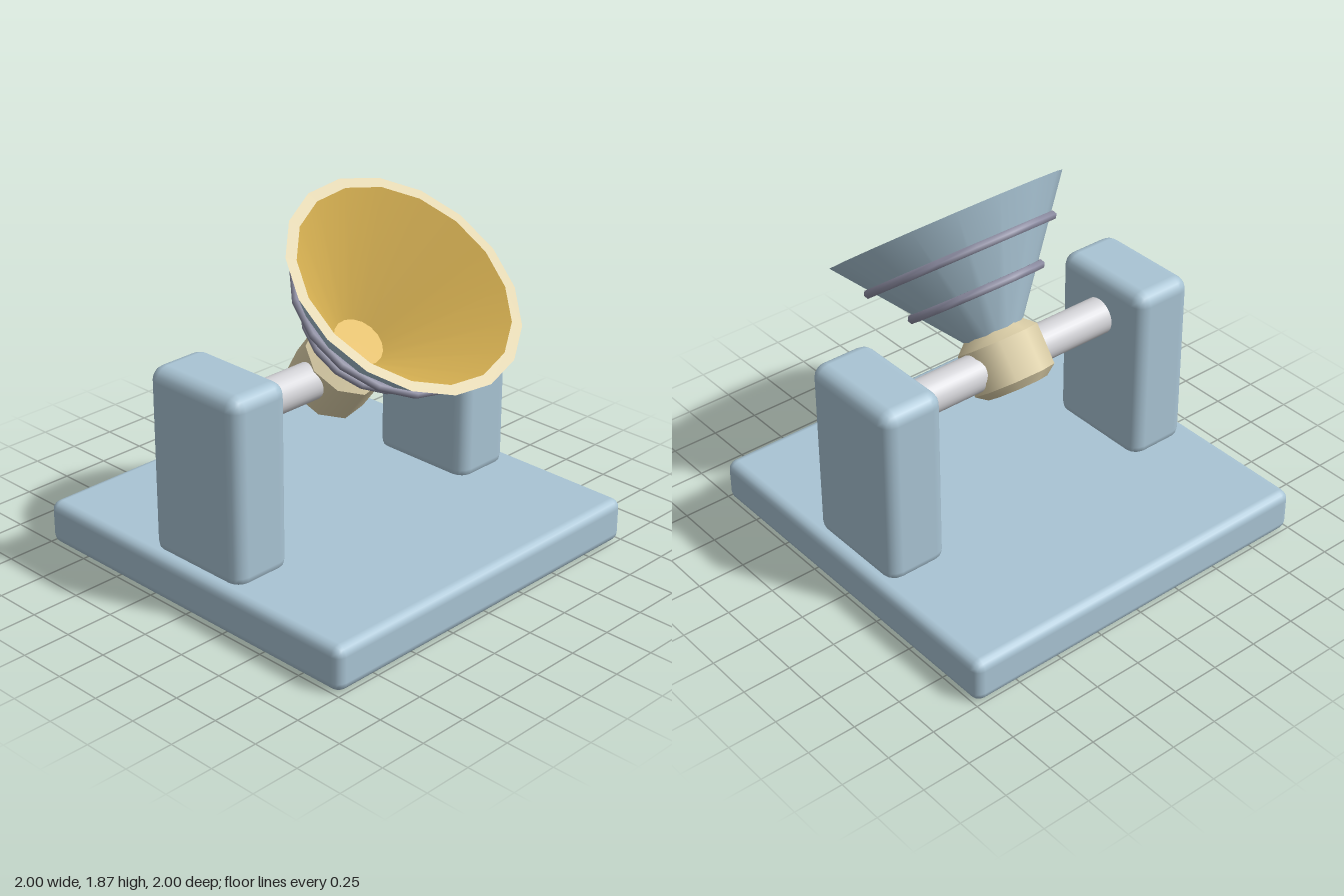
import * as THREE from 'three';
import { RoundedBoxGeometry } from 'three/addons/geometries/RoundedBoxGeometry.js';

export function createModel() {
  const mat = (name, color, side = THREE.FrontSide) => {
    const m = new THREE.MeshStandardMaterial({ color, side });
    m.name = name;
    return m;
  };
  const blue = mat('pale blue', 0xa9c4d4);
  const cream = mat('cream', 0xdccfa8);
  const gold = mat('gold', 0xdcb554, THREE.DoubleSide);
  const slate = mat('slate violet', 0x9090a6);
  const steel = mat('light steel', 0xd4d4d8);

  const model = new THREE.Group();
  model.name = 'tiltingHorn';
  const add = (parent, name, geometry, material, x = 0, y = 0, z = 0) => {
    const mesh = new THREE.Mesh(geometry, material);
    mesh.name = name;
    mesh.position.set(x, y, z);
    parent.add(mesh);
    return mesh;
  };

  // Base plate and the two posts, sunk slightly into it
  add(model, 'base', new RoundedBoxGeometry(2, 0.23, 2, 2, 0.05), blue, 0, 0.115, 0);
  for (const s of [1, -1]) {
    add(model, s > 0 ? 'leftPost' : 'rightPost',
      new RoundedBoxGeometry(0.335, 0.97, 0.59, 2, 0.07), blue, s * 0.768, 0.675, 0);
  }

  // Axle between the posts
  const axle = new THREE.CylinderGeometry(0.095, 0.095, 1.3, 32).rotateZ(Math.PI / 2);
  add(model, 'axle', axle, steel, 0, 0.93, 0);

  // Everything on the tilting head is measured along its own y axis from the axle
  const head = new THREE.Group();
  head.name = 'tiltingHead';
  head.position.y = 0.93;
  head.rotation.x = 0.66;
  model.add(head);

  const frustum = (name, y0, r0, y1, r1, sides, material, start) =>
    add(head, name,
      new THREE.CylinderGeometry(r1, r0, y1 - y0, sides, 1, true, start), material, 0, (y0 + y1) / 2, 0);

  // Collar with chamfered ends
  const collar = [[-0.15, 0.155], [-0.11, 0.21], [0.1, 0.21], [0.15, 0.155]];
  for (let i = 0; i < 3; i++) {
    frustum('collarBand', ...collar[i], ...collar[i + 1], 9, cream, -Math.PI / 2);
  }
  const cap = new THREE.CircleGeometry(0.155, 9, Math.PI).rotateX(Math.PI / 2);
  add(head, 'collarBottom', cap, cream, 0, -0.15, 0);

  // Horn: outer shell, gold lining, flat rim and floor
  const SIDES = 17, RIM = 0.726;
  frustum('hornShell', 0.13, 0.142, RIM, 0.607, SIDES, blue, Math.PI / 2);
  frustum('hornLining', 0.24, 0.13, RIM, 0.552, SIDES, gold, Math.PI / 2);
  add(head, 'hornRim', new THREE.RingGeometry(0.552, 0.607, SIDES).rotateX(-Math.PI / 2), cream, 0, RIM, 0);
  add(head, 'hornFloor', new THREE.CircleGeometry(0.13, SIDES).rotateX(-Math.PI / 2), gold, 0, 0.24, 0);

  // Bands around the horn
  for (const [y, r] of [[0.352, 0.337], [0.544, 0.482]]) {
    add(head, 'hornBand', new THREE.TorusGeometry(r, 0.024, 6, 16).rotateX(Math.PI / 2), slate, 0, y, 0);
  }
  return model;
}
